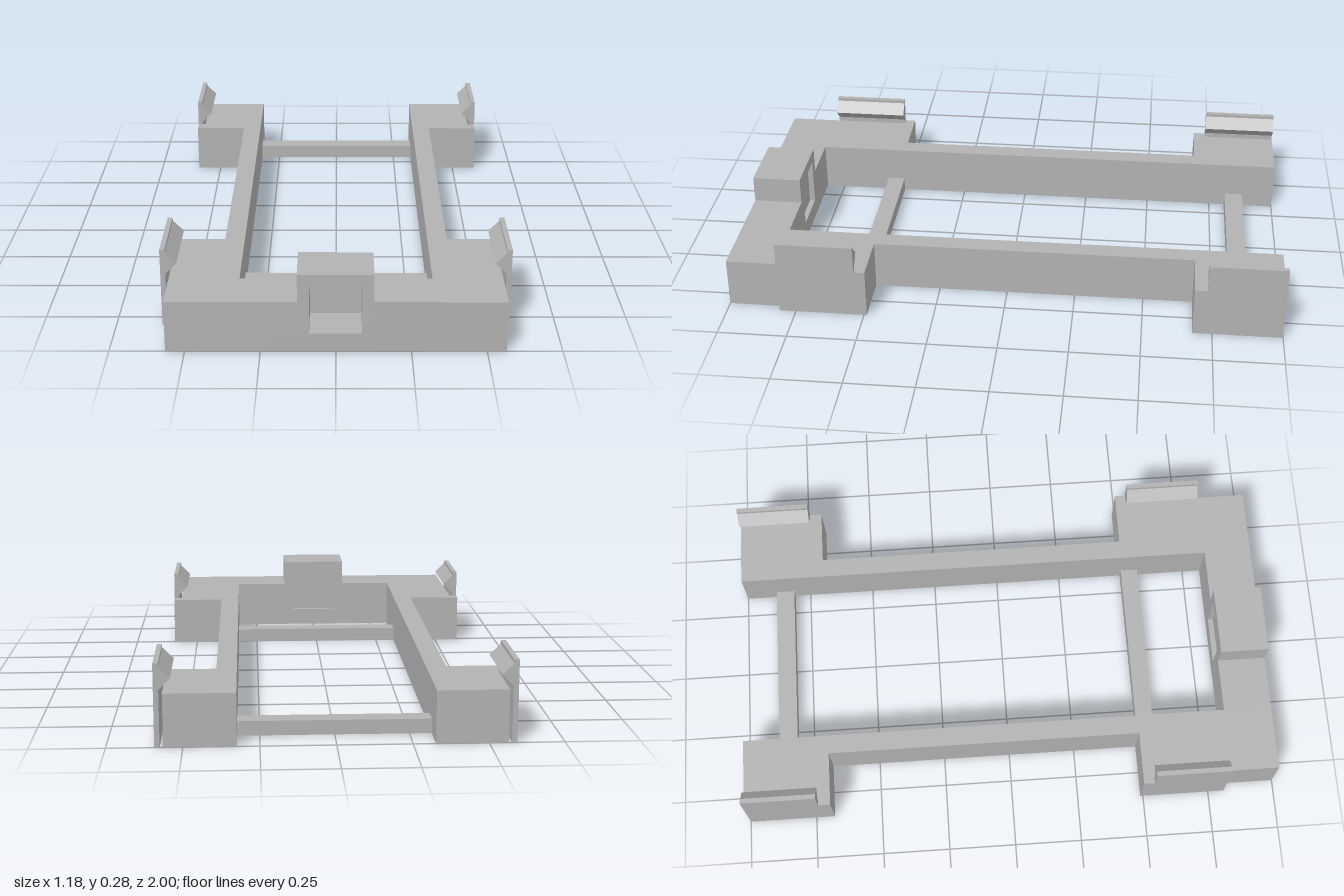
import * as THREE from 'three';

const toShape = (pts) => new THREE.Shape(pts.map(([x, y]) => new THREE.Vector2(x, y)));
const extrude = (shape, depth) => new THREE.ExtrudeGeometry(shape, { depth, bevelEnabled: false });

export function createModel() {
  const model = new THREE.Group();
  const grey = new THREE.MeshStandardMaterial({ color: 0xb2b2b2, flatShading: true });
  grey.name = 'grey plastic';

  const add = (name, geometry, x = 0, y = 0, z = 0) => {
    const mesh = new THREE.Mesh(geometry, grey);
    mesh.name = name;
    mesh.position.set(x, y, z);
    model.add(mesh);
  };

  const H = 0.18;      // frame height
  const INNER = 0.325; // inside face of the rails
  const OUT = 0.5925;  // outside face of the clips
  const CLIP = 0.575;  // inside face of the clips
  const BODY = 0.564;  // outside face of the corner blocks

  // Side rail outline in x and z, with corner blocks and the slots behind the clips
  const rail = [
    [INNER, 1], [BODY, 1], [BODY, 0.53], [CLIP, 0.53], [CLIP, 0.81], [OUT, 0.81],
    [OUT, 0.49], [0.395, 0.49], [0.395, -0.68], [OUT, -0.68], [OUT, -1], [CLIP, -1],
    [CLIP, -0.73], [BODY, -0.73], [BODY, -1], [INNER, -1],
  ];

  // Barbed upper part of a clip, in x and y
  const barb = [
    [CLIP, H], [OUT, H], [OUT, 0.28], [CLIP, 0.28], [CLIP, 0.268], [0.537, 0.23], [CLIP, 0.192],
  ];

  for (const [side, s] of [['left', 1], ['right', -1]]) {
    const railGeometry = extrude(toShape(rail.map(([x, z]) => [s * x, -z])), H);
    add(`${side}Rail`, railGeometry.rotateX(-Math.PI / 2));
    const barbShape = toShape(barb.map(([x, y]) => [s * x, y]));
    add(`${side}FrontClip`, extrude(barbShape, 0.28), 0, 0, 0.53);
    add(`${side}RearClip`, extrude(barbShape, 0.275), 0, 0, -1);
  }

  // Front beam with a raised housing and a square opening
  const beam = toShape([
    [-INNER, 0], [INNER, 0], [INNER, H], [0.125, H], [0.125, 0.277],
    [-0.127, 0.277], [-0.127, H], [-INNER, H],
  ]);
  beam.holes.push(new THREE.Path([
    new THREE.Vector2(-0.088, 0.066), new THREE.Vector2(-0.088, 0.237),
    new THREE.Vector2(0.086, 0.237), new THREE.Vector2(0.086, 0.066),
  ]));
  add('frontBeam', extrude(beam, 0.18), 0, 0, 0.82);

  // Thin wall closing the opening near its back
  add('openingBackWall', new THREE.BoxGeometry(0.174, 0.171, 0.012), -0.001, 0.1515, 0.846);

  // Low cross bars
  add('frontCrossBar', new THREE.BoxGeometry(2 * INNER, 0.05, 0.065), 0, 0.025, 0.53);
  add('rearCrossBar', new THREE.BoxGeometry(2 * INNER, 0.05, 0.07), 0, 0.025, -0.845);

  return model;
}
